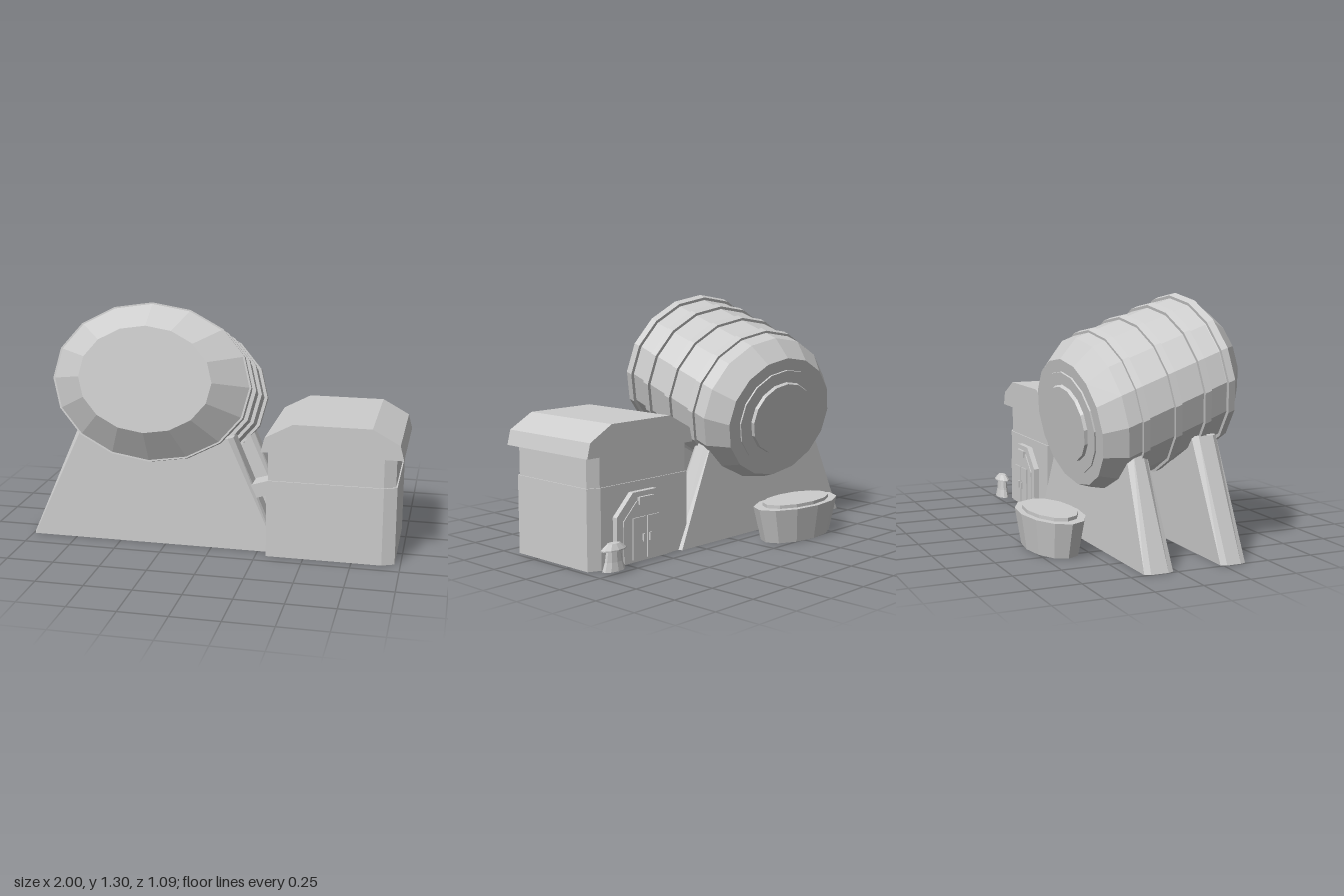
import * as THREE from 'three';

// Joins rings of points; each ring runs clockwise seen from the first end.
function loft(rings, capped = true) {
  const pos = [];
  const tri = (a, b, c) => pos.push(...a, ...b, ...c);
  const n = rings[0].length;
  const mid = (r) => [0, 1, 2].map((k) => r.reduce((s, p) => s + p[k], 0) / n);
  const first = rings[0], last = rings[rings.length - 1];
  const m0 = mid(first), m1 = mid(last);
  for (let i = 0; i < n; i++) {
    const j = (i + 1) % n;
    for (let r = 0; r < rings.length - 1; r++) {
      const a = rings[r], b = rings[r + 1];
      tri(a[i], a[j], b[j]);
      tri(a[i], b[j], b[i]);
    }
    if (capped) {
      tri(m0, first[j], first[i]);
      tri(m1, last[i], last[j]);
    }
  }
  const g = new THREE.BufferGeometry();
  g.setAttribute('position', new THREE.Float32BufferAttribute(pos, 3));
  g.computeVertexNormals();
  return g;
}

// Horizontal oval ring
function oval(y, rx, rz, n) {
  return Array.from({ length: n }, (_, i) => {
    const a = (i / n) * Math.PI * 2;
    return [rx * Math.sin(a), y, -rz * Math.cos(a)];
  });
}

// Leaning barrel ring: centres climb towards the front, rings tilt back slightly
const BX = -0.316;
function barrelRing([z, r]) {
  const y = 0.93 + 0.363 * (z - 0.506);
  return Array.from({ length: 16 }, (_, i) => {
    const a = (i / 16) * Math.PI * 2, up = r * Math.cos(a);
    return [BX + 1.285 * r * Math.sin(a), y + 0.99 * up, z - 0.143 * up];
  });
}

// Rectangle in plan with cut corners at the left and right ends
function plan(y, x0, x1, z0, z1, cutL, cutR, cz) {
  const l = cutL ? cz : 0, r = cutR ? cz : 0;
  return [[x0 + cutL, y, z0], [x1 - cutR, y, z0], [x1, y, z0 + r], [x1, y, z1 - r],
    [x1 - cutR, y, z1], [x0 + cutL, y, z1], [x0, y, z1 - l], [x0, y, z0 + l]];
}

function extrude(points, depth) {
  const s = new THREE.Shape(points.map(([x, y]) => new THREE.Vector2(x, y)));
  return new THREE.ExtrudeGeometry(s, { depth, bevelEnabled: false });
}

export function createModel() {
  const model = new THREE.Group();
  model.name = 'barrelAndHut';
  const grey = new THREE.MeshStandardMaterial({ color: 0xcccccc });
  grey.name = 'plain grey';
  const add = (name, geo, x = 0, y = 0, z = 0) => {
    const m = new THREE.Mesh(geo, grey);
    m.name = name;
    m.position.set(x, y, z);
    model.add(m);
    return m;
  };
  const box = (name, w, h, d, x, y, z) => add(name, new THREE.BoxGeometry(w, h, d), x, y, z);

  // Barrel with stepped back lid
  add('barrel', loft([[0.506, 0.273], [0.387, 0.405], [0.35, 0.396], [-0.182, 0.4], [-0.28, 0.33],
    [-0.28, 0.265], [-0.288, 0.265], [-0.288, 0.2], [-0.303, 0.195]].map(barrelRing)));

  // Hoops
  for (const z of [0.37, 0.24, 0.078, -0.095]) {
    add('hoop', loft([[z + 0.017, 0.39], [z + 0.017, 0.413], [z - 0.017, 0.412], [z - 0.017, 0.39]]
      .map(barrelRing), false));
  }

  // Two trestles carrying the barrel: z range at the top, then at the foot
  for (const [t0, t1, f0, f1] of [[0.215, 0.355, 0.238, 0.375], [-0.155, -0.05, -0.175, -0.022]]) {
    add('trestle', loft([
      plan(0.6, -0.425, 0.425, t0, t1, 0.025, 0.025, 0.03),
      plan(0, -0.685, 0.685, f0, f1, 0.012, 0.012, 0.03),
    ]), BX);
  }

  // Sloping brace from the front trestle to the hut
  box('brace', 0.28, 0.075, 0.11, 0.26, 0.333, 0.295).rotation.z = 0.3;

  // Hut walls
  add('lowerWalls', loft([
    plan(0.413, 0.305, 0.97, -0.155, 0.435, 0, 0.065, 0.03),
    plan(0, 0.305, 0.97, -0.155, 0.435, 0, 0.065, 0.03),
  ]));
  add('upperWalls', loft([
    plan(0.57, 0.312, 0.963, -0.148, 0.428, 0, 0.06, 0.03),
    plan(0.41, 0.312, 0.963, -0.148, 0.428, 0, 0.06, 0.03),
  ]));

  // Faceted roof
  add('roof', extrude([[0.275, 0.568], [1, 0.568], [0.98, 0.645], [0.84, 0.722], [0.44, 0.722], [0.295, 0.645]], 0.617),
    0, 0, -0.17);

  // Double door in the back wall
  const arch = (w, h, c) => [[-w, 0], [w, 0], [w, h - c], [w - c, h], [c - w, h], [-w, h - c]];
  const doorX = 0.635;
  add('doorFrame', extrude(arch(0.192, 0.355, 0.11), 0.04), doorX, 0.01, -0.185);
  add('doorPanel', extrude(arch(0.15, 0.31, 0.09), 0.03), doorX, 0.01, -0.19);
  for (const s of [-1, 1]) {
    box('doorLeaf', 0.085, 0.215, 0.02, doorX + s * 0.05, 0.13, -0.187);
    box('doorHandle', 0.014, 0.04, 0.012, doorX + s * 0.022, 0.13, -0.2);
  }
  box('doorPlaque', 0.1, 0.038, 0.03, doorX, 0.32, -0.185);

  // Small lantern by the door
  add('lantern', loft([[0.15, 0.04], [0.122, 0.077], [0.116, 0.077], [0.114, 0.045], [0.06, 0.054], [0.015, 0.07]]
    .map(([y, r]) => oval(y, r, r * 0.5, 10))), 0.888, 0, -0.226);

  // Oval tub under the barrel
  add('tub', loft([oval(0.187, 0.31, 0.155, 12), oval(0, 0.255, 0.1275, 12)]), -0.32, 0, -0.39);
  add('tubContents', loft([oval(0.205, 0.245, 0.1225, 12), oval(0.18, 0.245, 0.1225, 12)]), -0.32, 0, -0.39);

  return model;
}
